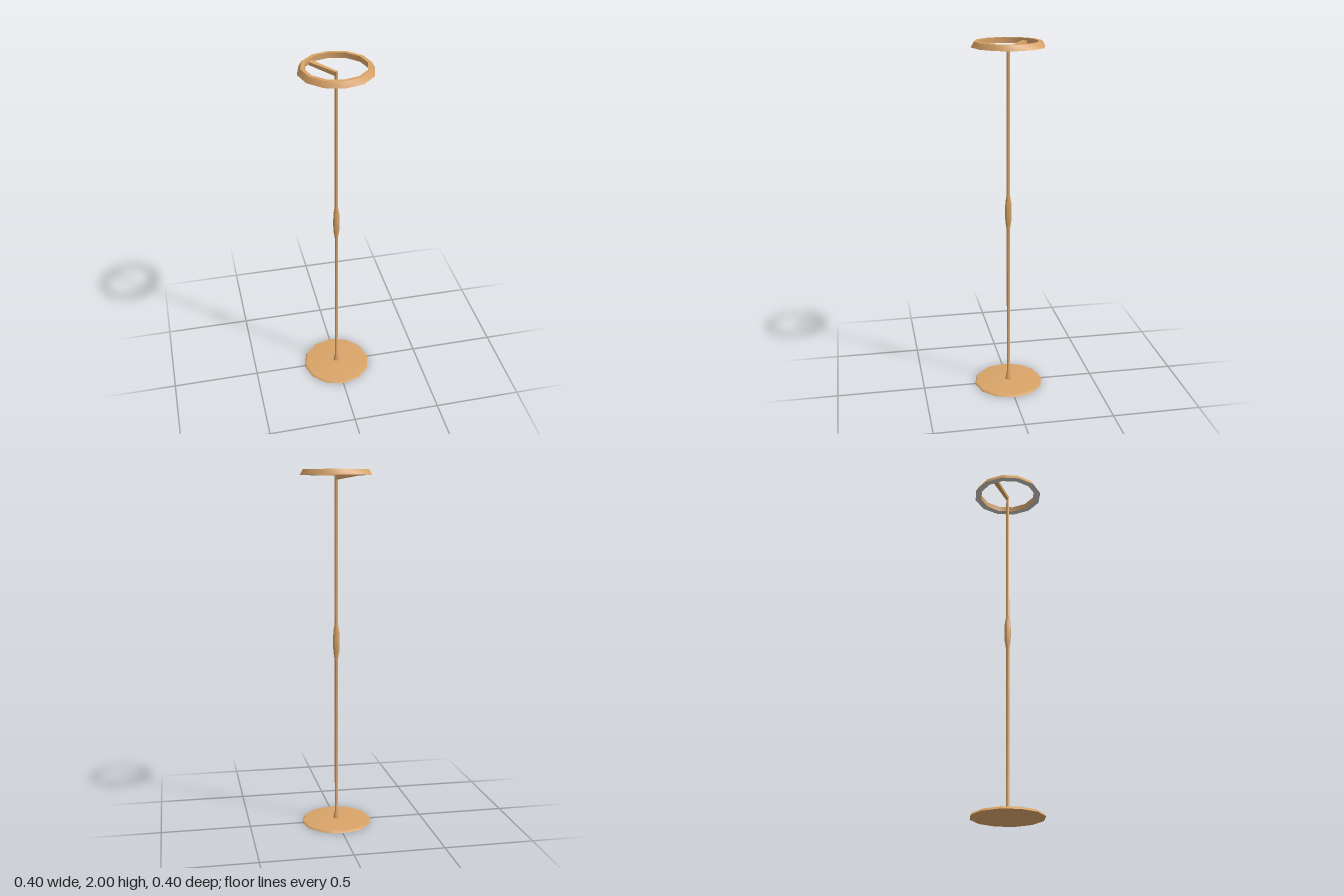
import * as THREE from 'three';
import { toCreasedNormals } from 'three/addons/utils/BufferGeometryUtils.js';

const SIDES = 12;

const bronze = new THREE.MeshStandardMaterial({ color: 0xd9a468 });
bronze.name = 'bronze';
const diffuser = new THREE.MeshStandardMaterial({ color: 0xc8c4be });
diffuser.name = 'diffuserGrey';

// Revolves a profile of [radius, height] pairs, listed outside face upwards
function turned(name, profile, material, crease) {
  let geometry = new THREE.LatheGeometry(profile.map(([r, y]) => new THREE.Vector2(r, y)), SIDES);
  if (crease) geometry = toCreasedNormals(geometry, crease);
  const mesh = new THREE.Mesh(geometry, material);
  mesh.name = name;
  return mesh;
}

// Arm that widens and rises from the pole to the ring, along +z before turning
function makeArm() {
  const length = 0.164;
  const geometry = new THREE.BoxGeometry(1, 1, 1);
  const pos = geometry.attributes.position;
  for (let i = 0; i < pos.count; i++) {
    const outer = pos.getZ(i) > 0;
    const top = pos.getY(i) > 0;
    const halfWidth = outer ? 0.0145 : 0.008;
    const y = outer ? (top ? 1.988 : 1.971) : (top ? 1.968 : 1.945);
    pos.setXYZ(i, Math.sign(pos.getX(i)) * halfWidth, y, outer ? length : 0);
  }
  geometry.computeVertexNormals();
  const arm = new THREE.Mesh(geometry, bronze);
  arm.name = 'arm';
  arm.rotation.y = -Math.PI * 0.75; // towards the back right corner
  return arm;
}

export function createModel() {
  const lamp = new THREE.Group();
  lamp.name = 'floorLamp';

  // Flat round foot
  lamp.add(turned('baseTop', [[0.2, 0], [0.19, 0.014], [0, 0.017]], bronze));
  lamp.add(turned('baseUnderside', [[0, 0], [0.2, 0]], bronze));

  // Pole with a flared socket and a swollen grip at mid height
  lamp.add(turned('pole', [
    [0.017, 0.014], [0.015, 0.035], [0.009, 0.055],
    [0.009, 0.95], [0.017, 1.0], [0.018, 1.05], [0.017, 1.11], [0.009, 1.16],
    [0.009, 1.969], [0, 1.969],
  ], bronze, 0.9));

  lamp.add(makeArm());

  // Light ring with a sloping outer wall, and its diffuser below
  lamp.add(turned('lightRing',
    [[0.2, 1.97], [0.183, 2], [0.163, 2], [0.164, 1.97]], bronze, 0.7));
  lamp.add(turned('ringDiffuser', [[0.164, 1.97], [0.2, 1.97]], diffuser));

  return lamp;
}
